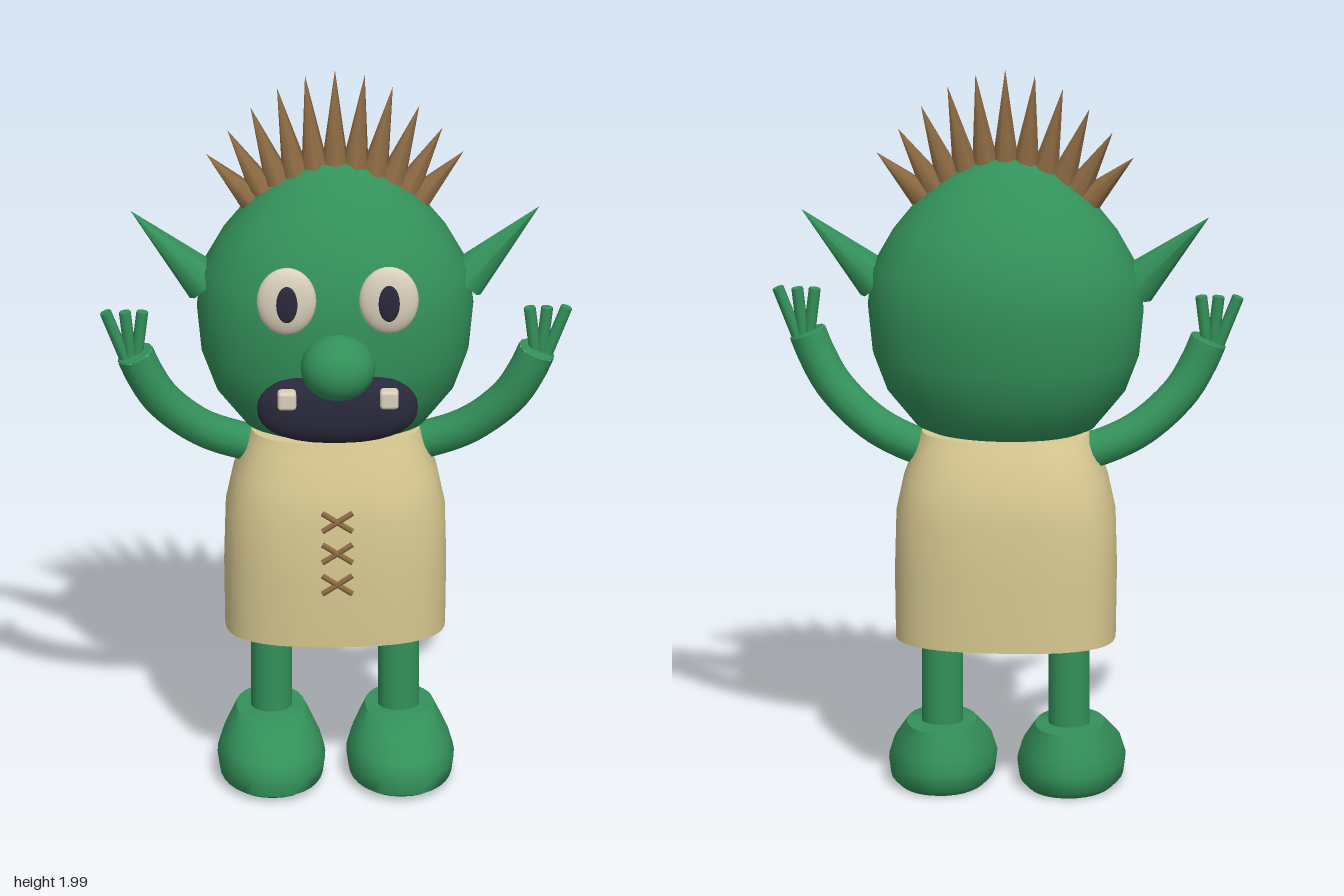
import * as THREE from 'three';
import { toCreasedNormals } from 'three/addons/utils/BufferGeometryUtils.js';
import { RoundedBoxGeometry } from 'three/addons/geometries/RoundedBoxGeometry.js';

const mat = (name, color) => {
  const m = new THREE.MeshStandardMaterial({ color });
  m.name = name;
  return m;
};
const V = (x, y, z) => new THREE.Vector3(x, y, z);

// Closed loft through superellipse rings [y, half width, back z, front z], listed upwards
function loft(rings, power = 2, sides = 32) {
  const pos = [], idx = [], n = rings.length;
  const bend = (v) => Math.sign(v) * Math.abs(v) ** (2 / power);
  for (const [y, rx, zb, zf] of rings) {
    for (let i = 0; i < sides; i++) {
      const a = (i / sides) * Math.PI * 2;
      pos.push(rx * bend(Math.cos(a)), y, (zb + zf) / 2 + ((zf - zb) / 2) * bend(Math.sin(a)));
    }
  }
  const centre = ([y, , zb, zf]) => pos.push(0, y, (zb + zf) / 2);
  centre(rings[0]);
  centre(rings[n - 1]);
  for (let i = 0; i < sides; i++) {
    const k = (i + 1) % sides, top = (n - 1) * sides;
    for (let j = 0; j < n - 1; j++) {
      const a = j * sides + i, b = j * sides + k;
      idx.push(a, a + sides, b, b, a + sides, b + sides);
    }
    idx.push(n * sides, i, k, n * sides + 1, top + k, top + i);
  }
  const g = new THREE.BufferGeometry();
  g.setAttribute('position', new THREE.Float32BufferAttribute(pos, 3));
  g.setIndex(idx);
  g.computeVertexNormals();
  return g;
}

// Tapered rod from one point to another
function rod(from, to, r0, r1, sides) {
  const d = to.clone().sub(from);
  const g = new THREE.CylinderGeometry(r1, r0, d.length(), sides);
  g.applyQuaternion(new THREE.Quaternion().setFromUnitVectors(V(0, 1, 0), d.normalize()));
  const c = from.clone().add(to).multiplyScalar(0.5);
  return g.translate(c.x, c.y, c.z);
}

const ellipsoid = (rx, ry, rz, x, y, z) =>
  new THREE.SphereGeometry(1, 28, 18).scale(rx, ry, rz).translate(x, y, z);

export function createModel() {
  const model = new THREE.Group();
  const skin = mat('green skin', 0x33915a);
  const cloth = mat('tan cloth', 0xd9ca92);
  const brown = mat('brown hair', 0x8c6a43);
  const ivory = mat('ivory', 0xdad0bc);
  const dark = mat('dark violet', 0x2a293c);
  const add = (name, geometry, material) => {
    const m = new THREE.Mesh(geometry, material);
    m.name = name;
    model.add(m);
    return m;
  };

  // Head and tunic
  add('head', loft([
    [0.965, 0.16, -0.13, 0.04], [1.0, 0.24, -0.195, 0.11], [1.1, 0.32, -0.258, 0.165],
    [1.2, 0.357, -0.286, 0.187], [1.33, 0.37, -0.3, 0.195], [1.44, 0.357, -0.296, 0.183],
    [1.54, 0.302, -0.257, 0.145], [1.63, 0.232, -0.2, 0.09], [1.7, 0.148, -0.135, 0.03],
    [1.738, 0.07, -0.085, -0.015], [1.746, 0.02, -0.06, -0.04],
  ]), skin);
  add('tunic', toCreasedNormals(loft([
    [0.415, 0.294, -0.236, 0.143], [0.6, 0.297, -0.243, 0.155], [0.76, 0.293, -0.243, 0.155],
    [0.86, 0.272, -0.232, 0.142], [0.95, 0.238, -0.195, 0.11], [0.985, 0.225, -0.18, 0.1],
  ], 2.6, 40), 1), cloth);

  // Nose and mouth
  add('nose', ellipsoid(0.1, 0.09, 0.09, 0, 1.25, 0.208), skin);
  const mouth = new THREE.SphereGeometry(1, 32, 18);
  const p = mouth.attributes.position;
  for (let i = 0; i < p.count; i++) {
    const x = p.getX(i), y = p.getY(i);
    p.setXYZ(i, Math.sign(x) * Math.abs(x) ** 0.85 * 0.215, Math.sign(y) * Math.abs(y) ** 0.85 * 0.1, p.getZ(i) * 0.05);
  }
  mouth.computeVertexNormals();
  add('mouth', mouth.translate(0, 1.118, 0.168), dark);

  // Paired parts
  for (const s of [1, -1]) {
    const side = s > 0 ? 'left' : 'right';

    add(side + 'Eye', ellipsoid(0.08, 0.096, 0.03, s * 0.137, 1.433, 0.184), ivory);
    add(side + 'Pupil', ellipsoid(0.029, 0.052, 0.009, s * 0.137, 1.433, 0.21), dark);
    add(side + 'Tooth', new RoundedBoxGeometry(0.05, 0.052, 0.04, 2, 0.01).translate(s * 0.137, 1.162, 0.217), ivory);
    add(side + 'Ear', rod(V(s * 0.345, 1.395, -0.05), V(s * 0.547, 1.595, -0.072), 0.062, 0, 8), skin);

    // Arm, with a closed wrist and three fingers
    const path = new THREE.CatmullRomCurve3([
      V(s * 0.18, 0.925, -0.055), V(s * 0.25, 0.94, -0.045), V(s * 0.36, 0.99, -0.02),
      V(s * 0.465, 1.085, 0.01), V(s * 0.515, 1.17, 0.025), V(s * 0.537, 1.222, 0.03),
    ]);
    add(side + 'Arm', new THREE.TubeGeometry(path, 20, 0.051, 12), skin);
    const wrist = V(s * 0.537, 1.222, 0.03);
    const tip = wrist.clone().addScaledVector(path.getTangent(1), 0.004);
    add(side + 'Wrist', rod(wrist, tip, 0.051, 0.048, 12), skin);
    [[0.56, 0.617], [0.548, 0.565], [0.535, 0.518]].forEach(([x0, x1], i) =>
      add(side + 'Finger' + (i + 1), rod(V(s * x0, 1.2, 0.03), V(s * x1, 1.345, 0.03), 0.016, 0.016, 8), skin));

    // Leg and foot
    add(side + 'Leg', rod(V(s * 0.17, 0.14, -0.05), V(s * 0.17, 0.46, -0.05), 0.055, 0.055, 20), skin);
    const foot = toCreasedNormals(loft([
      [0.005, 0.12, -0.2, 0.2], [0.022, 0.138, -0.22, 0.236], [0.065, 0.144, -0.223, 0.243],
      [0.105, 0.132, -0.213, 0.225], [0.145, 0.11, -0.198, 0.15], [0.175, 0.092, -0.185, 0.09],
    ], 2.15), 0.9);
    add(side + 'Foot', foot, skin).position.x = s * 0.172;
  }

  // Crest of hair spikes, from the middle outwards: base x, base y, tip x, tip y
  [
    [0, 1.72, 0, 1.995], [0.053, 1.715, 0.08, 1.98], [0.105, 1.705, 0.155, 1.945],
    [0.152, 1.685, 0.226, 1.89], [0.193, 1.66, 0.288, 1.825], [0.225, 1.635, 0.345, 1.757],
  ].forEach(([bx, by, tx, ty], i) => {
    for (const s of i ? [1, -1] : [1]) {
      add('hairSpike', rod(V(s * bx, by, -0.048), V(s * tx, ty, -0.072), 0.038, 0, 7), brown);
    }
  });

  // Crossed stitches on the chest
  for (const y of [0.78, 0.69, 0.6]) {
    for (const s of [1, -1]) {
      add('stitch', rod(V(-0.04, y - s * 0.026, 0.154), V(0.04, y + s * 0.026, 0.154), 0.008, 0.008, 8), brown);
    }
  }
  return model;
}
